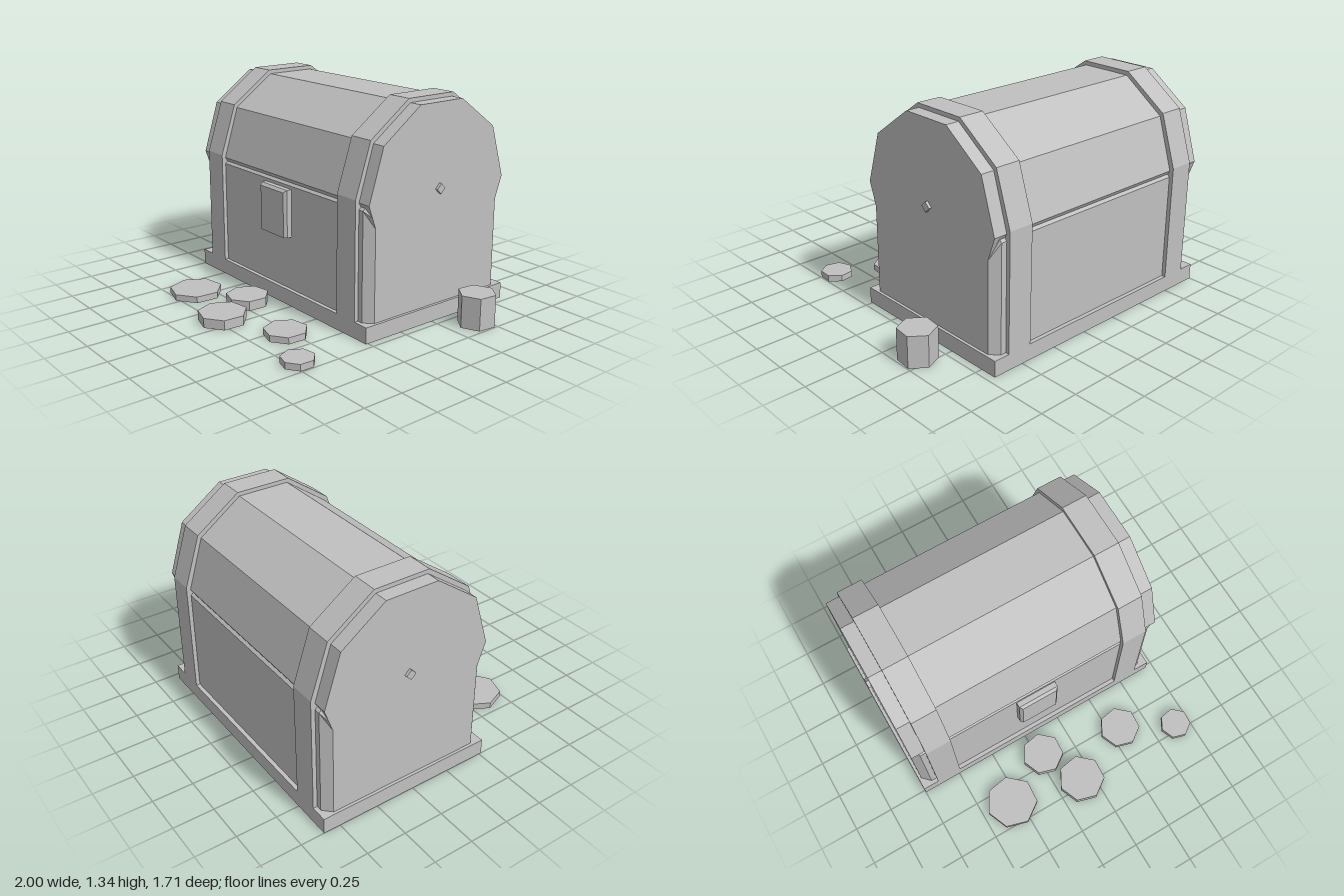
import * as THREE from 'three';

const grey = new THREE.MeshStandardMaterial({ color: 0xc0c0c0 });
grey.name = 'plain grey';
grey.flatShading = true;
grey.side = THREE.DoubleSide;

function part(name, geometry, parent, x = 0, y = 0, z = 0) {
  const mesh = new THREE.Mesh(geometry, grey);
  mesh.name = name;
  mesh.position.set(x, y, z);
  parent.add(mesh);
  return mesh;
}

// mirrors a front half profile of [depth, height] points over to the back
const arch = (half) => [...half, ...half.map(([w, y]) => [-w, y]).reverse()];

// skins arch profiles placed along x and closes both ends
function loft(sections) {
  const pos = [];
  const tri = (...pts) => pts.forEach((p) => pos.push(...p));
  const at = ({ x, pts }, i) => [x, pts[i][1], pts[i][0]];
  for (let s = 0; s < sections.length - 1; s++) {
    const L = sections[s], R = sections[s + 1];
    for (let i = 0; i < L.pts.length - 1; i++) {
      const a = at(L, i), b = at(R, i), c = at(R, i + 1), d = at(L, i + 1);
      tri(a, b, c);
      tri(a, c, d);
    }
  }
  [sections[0], sections[sections.length - 1]].forEach((S, end) => {
    const hub = [S.x, 0.5, 0], n = S.pts.length;
    for (let i = 0; i < n; i++) {
      const p = at(S, i), q = at(S, (i + 1) % n);
      if (end) tri(hub, q, p);
      else tri(hub, p, q);
    }
  });
  const g = new THREE.BufferGeometry();
  g.setAttribute('position', new THREE.Float32BufferAttribute(pos, 3));
  g.computeVertexNormals();
  return g;
}

// box standing on y = 0 with no underside
function openBox(w, h, d) {
  const g = new THREE.BoxGeometry(w, h, d).translate(0, h / 2, 0);
  const index = Array.from(g.index.array);
  index.splice(18, 6);
  g.setIndex(index);
  g.clearGroups();
  return g;
}

// prism standing on y = 0 with no underside
function openPrism(r, h, sides, turn) {
  const g = new THREE.CylinderGeometry(r, r, h, sides, 1, false, turn).translate(0, h / 2, 0);
  g.setIndex(Array.from(g.index.array).slice(0, -3 * sides));
  g.clearGroups();
  return g;
}

export function createModel() {
  const model = new THREE.Group();
  model.name = 'treasureChest';
  const chest = new THREE.Group();
  chest.name = 'chest';
  chest.position.set(-0.148, 0, -0.295);
  model.add(chest);

  // plinth, hollow underneath
  part('base', openBox(1.705, 0.1, 1.12), chest);

  // body and faceted lid: chamfered corners below, groove under the lid
  const lid = [[0.535, 0.8], [0.435, 1.12], [0.165, 1.315]];
  const middle = arch([[0.535, 0.1], [0.535, 0.76], [0.52, 0.775], ...lid]);
  const end = arch([[0.485, 0.1], [0.485, 0.66], [0.51, 0.73], ...lid]);
  part('bodyAndLid', loft([
    { x: -0.835, pts: end }, { x: -0.785, pts: middle },
    { x: 0.785, pts: middle }, { x: 0.835, pts: end },
  ]), chest);

  // straps over the chest, with a hollow runner under each
  const strap = arch([[0.56, 0.1], [0.56, 0.82], [0.455, 1.14], [0.175, 1.34]]);
  for (const [side, s] of [['left', 1], ['right', -1]]) {
    part(side + 'Strap', loft([{ x: -0.08, pts: strap }, { x: 0.08, pts: strap }]), chest, s * 0.67);
    part(side + 'Runner', openBox(0.16, 0.097, 1.11), chest, s * 0.67);
  }

  // hinge pin showing as a diamond on both ends
  part('pin', new THREE.BoxGeometry(1.705, 0.045, 0.045), chest, 0, 0.81, 0).rotation.x = Math.PI / 4;

  // lock plate, bevelled at the sides and top
  const lock = new THREE.BoxGeometry(0.265, 0.3, 0.06, 1, 1, 2);
  const p = lock.attributes.position;
  for (let i = 0; i < p.count; i++) {
    if (p.getZ(i) > 0.01) {
      p.setX(i, p.getX(i) - Math.sign(p.getX(i)) * 0.016);
      if (p.getY(i) > 0) p.setY(i, p.getY(i) - 0.016);
    } else if (p.getZ(i) > -0.01) p.setZ(i, 0.013);
  }
  lock.computeVertexNormals();
  part('lock', lock, chest, -0.004, 0.59, 0.555);

  // coins on the ground: x, z, radius, thickness
  [
    [-0.55, 0.61, 0.165, 0.04],
    [-0.217, 0.44, 0.134, 0.06],
    [-0.083, 0.71, 0.149, 0.06],
    [0.318, 0.54, 0.132, 0.04],
    [0.653, 0.706, 0.1, 0.04],
  ].forEach(([x, z, r, h], i) => part('coin' + (i + 1), openPrism(r, h, 7, 2.86), model, x, 0, z));

  // tall coin stack beside the chest
  part('coinStack', openPrism(0.115, 0.2, 6, 3.03), model, 0.89, 0, -0.432);

  return model;
}
